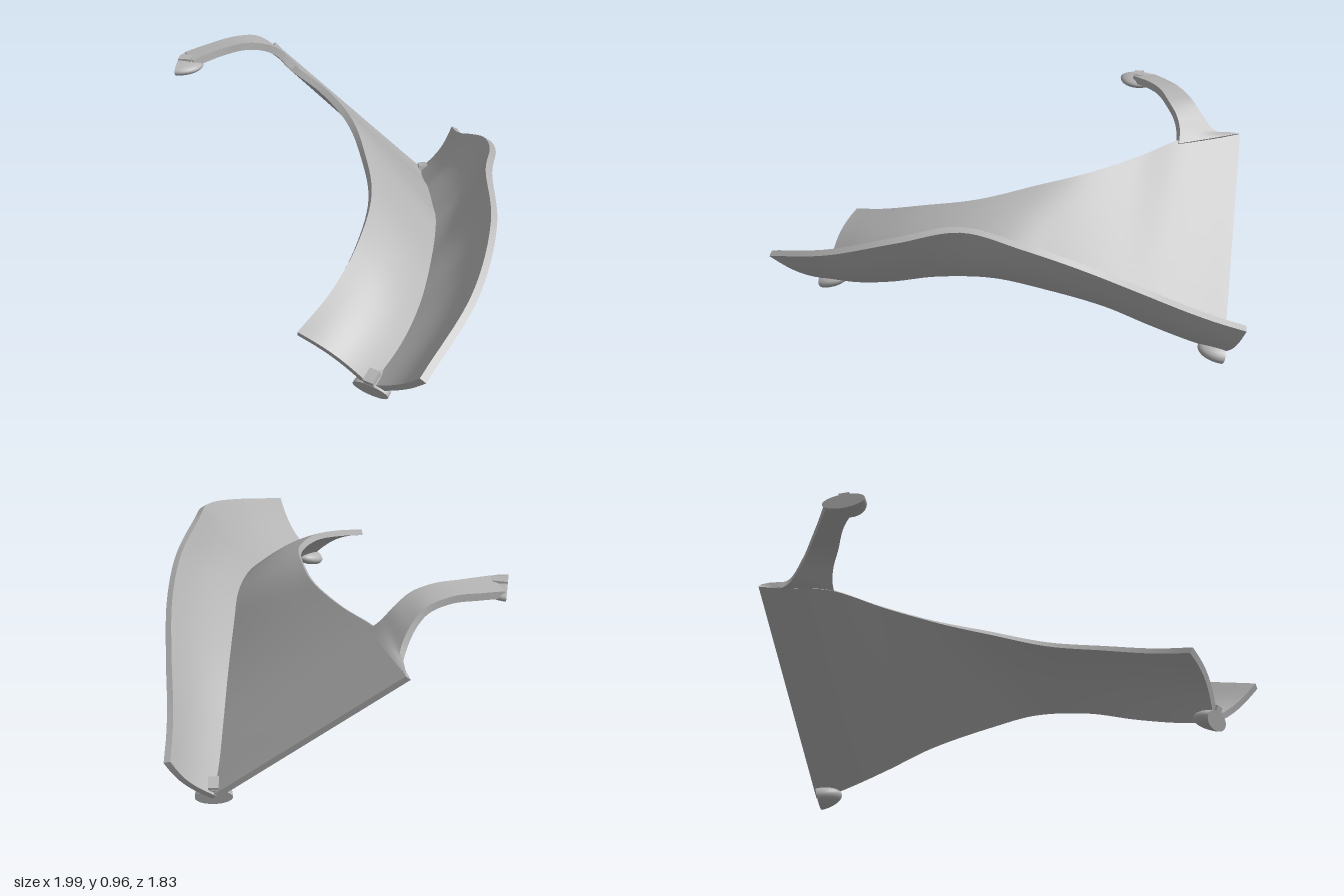
import * as THREE from 'three';

const V = (x, y, z) => new THREE.Vector3(x, y, z);
const curve = (pts) => new THREE.CatmullRomCurve3(pts.map((p) => V(...p)));

// Thick sheet around a surface f(u, v), closed along all four edges
function sheet(f, nu, nv, thick) {
  const pos = [], idx = [], rows = [];
  const e = 0.004;
  for (let i = 0; i <= nu; i++) {
    rows.push([]);
    for (let j = 0; j <= nv; j++) {
      const u = i / nu, v = j / nv;
      const du = f(Math.min(u + e, 1), v).sub(f(Math.max(u - e, 0), v));
      const dv = f(u, Math.min(v + e, 1)).sub(f(u, Math.max(v - e, 0)));
      const n = du.cross(dv).normalize().multiplyScalar(thick / 2);
      const p = f(u, v);
      rows[i].push([p.clone().add(n), p.clone().sub(n)]);
    }
  }
  // Adds a strip or patch of quads from a grid of points
  const patch = (a, b, at, flip) => {
    const start = pos.length / 3;
    for (let i = 0; i <= a; i++) for (let j = 0; j <= b; j++) pos.push(...at(i, j).toArray());
    for (let i = 0; i < a; i++) for (let j = 0; j < b; j++) {
      const p = start + i * (b + 1) + j, q = p + b + 1;
      if (flip) idx.push(p, p + 1, q, q, p + 1, q + 1);
      else idx.push(p, q, p + 1, q, q + 1, p + 1);
    }
  };
  patch(nu, nv, (i, j) => rows[i][j][0], false);
  patch(nu, nv, (i, j) => rows[i][j][1], true);
  patch(nu, 1, (i, k) => rows[i][0][k], true);
  patch(nu, 1, (i, k) => rows[i][nv][k], false);
  patch(nv, 1, (j, k) => rows[0][j][k], false);
  patch(nv, 1, (j, k) => rows[nu][j][k], true);
  const g = new THREE.BufferGeometry();
  g.setAttribute('position', new THREE.Float32BufferAttribute(pos, 3));
  g.setIndex(idx);
  g.computeVertexNormals();
  return g;
}

// Surface ruled between two curves, bowed by an offset vector
function ruled(a, b, bow) {
  return (u, v) => {
    const p = a.getPoint(u).lerp(b.getPoint(u), v);
    return bow ? p.add(bow(u, v)) : p;
  };
}

export function createModel() {
  const model = new THREE.Group();
  const grey = new THREE.MeshStandardMaterial({ color: 0xb3b3b3 });
  const add = (parent, name, geometry) => {
    const m = new THREE.Mesh(geometry, grey);
    m.name = name;
    parent.add(m);
    return m;
  };

  // Guide curves: upper rim of the floor, crease, upper rim of the wall
  const innerRim = curve([
    [-0.99, 0.77, -0.27], [-0.85, 0.78, -0.2], [-0.71, 0.79, -0.14], [-0.45, 0.77, -0.1], [-0.2, 0.74, -0.02],
    [0, 0.7, 0.1], [0.2, 0.64, 0.26], [0.34, 0.57, 0.49], [0.41, 0.49, 0.71], [0.43, 0.42, 0.91]]);
  const crease = curve([
    [-0.38, 0.06, -0.74], [-0.28, 0.11, -0.63], [-0.15, 0.19, -0.5], [0, 0.29, -0.35], [0.2, 0.38, -0.15],
    [0.35, 0.43, 0], [0.5, 0.41, 0.2], [0.61, 0.34, 0.4], [0.67, 0.28, 0.58], [0.7, 0.22, 0.78]]);
  const outerRim = curve([
    [-0.3, 0.29, -0.91], [-0.2, 0.34, -0.82], [-0.1, 0.4, -0.74], [0.05, 0.5, -0.63], [0.25, 0.63, -0.47],
    [0.42, 0.72, -0.29], [0.57, 0.77, -0.07], [0.76, 0.71, 0.13], [0.91, 0.59, 0.42], [0.98, 0.45, 0.8]]);

  // Floor: flat at the back, curling over towards the front
  add(model, 'floorPanel', sheet(ruled(innerRim, crease, (u, v) => {
    const k = 0.04 * u * u * Math.sin(Math.PI * v);
    return V(0.4 * k, 0.8 * k, 0.2 * k);
  }), 60, 12, 0.03));

  // Outer wall: bowed outwards along its middle
  add(model, 'outerWall', sheet(ruled(crease, outerRim, (u, v) => {
    const k = 0.025 * Math.sin(Math.PI * v);
    return V(0.55 * k, -0.55 * k, -0.6 * k);
  }), 60, 12, 0.03));

  // Hooked arm: flares into the floor rim and bends forward
  const armLeft = curve([
    [-0.98, 0.77, -0.27], [-0.89, 0.79, -0.2], [-0.865, 0.87, -0.12], [-0.87, 0.92, -0.05],
    [-0.9, 0.938, 0.06], [-0.945, 0.925, 0.18], [-0.98, 0.91, 0.28]]);
  const armRight = curve([
    [-0.68, 0.78, -0.15], [-0.715, 0.83, -0.12], [-0.735, 0.88, -0.08], [-0.755, 0.925, -0.01],
    [-0.79, 0.945, 0.07], [-0.83, 0.94, 0.17], [-0.87, 0.92, 0.32]]);
  add(model, 'hookArm', sheet(ruled(armLeft, armRight), 40, 6, 0.035));

  // Feet: half ellipsoids with a flat outer face and a small peg
  const dome = new THREE.SphereGeometry(1, 28, 12, 0, Math.PI * 2, 0, Math.PI / 2).rotateX(-Math.PI / 2);
  const feet = [
    ['backFoot', [-0.37, 0.05, -0.735], [-0.75, -0.23, -0.61], [0.08, 0.047, 0.11], 0.04],
    ['frontFoot', [0.7, 0.212, 0.785], [0.22, -0.33, 0.91], [0.08, 0.042, 0.11], 0.04],
    ['armFoot', [-0.942, 0.9, 0.345], [-0.8, 0, 0.6], [0.093, 0.033, 0.11], 0.015]];
  for (const [name, at, normal, size, lift] of feet) {
    const foot = new THREE.Group();
    foot.name = name;
    foot.position.set(...at);
    foot.quaternion.setFromRotationMatrix(
      new THREE.Matrix4().lookAt(V(...normal), V(0, 0, 0), V(0, 1, 0)));
    add(foot, 'footDome', dome).scale.set(...size);
    add(foot, 'footFace', new THREE.CircleGeometry(1, 28)).scale.set(size[0], size[1], 1);
    add(foot, 'footPeg', new THREE.BoxGeometry(0.045, 0.05, 0.06)).position.set(0, lift, -0.031);
    model.add(foot);
  }
  return model;
}
